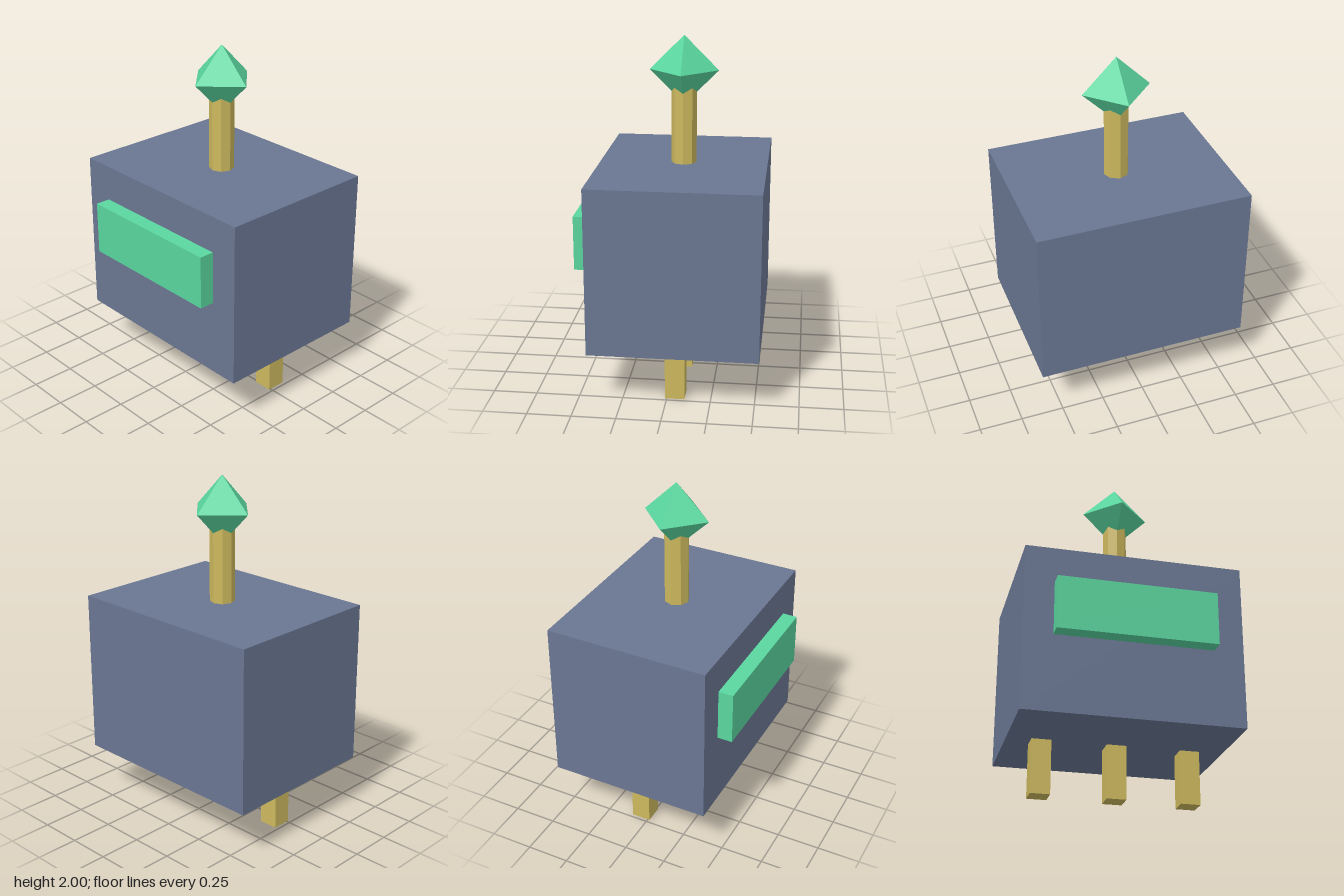
import * as THREE from 'three';

export function createModel() {
  const group = new THREE.Group();
  const material = (name, color) => {
    const m = new THREE.MeshStandardMaterial({ color, flatShading: true });
    m.name = name;
    return m;
  };
  const slate = material('slate blue', 0x6a7793);
  const green = material('mint green', 0x5ad69f);
  const gold = material('dull gold', 0xcdb95e);
  const axisZ = -0.045; // depth shared by body, legs and mast

  const add = (name, geometry, mat, x, y, z) => {
    const mesh = new THREE.Mesh(geometry, mat);
    mesh.name = name;
    mesh.position.set(x, y, z);
    group.add(mesh);
  };

  // Box body with a raised panel on the front
  add('body', new THREE.BoxGeometry(1.236, 0.96, 0.96), slate, 0, 0.79, axisZ);
  add('frontPanel', new THREE.BoxGeometry(0.9, 0.31, 0.17), green, 0, 0.905, 0.437);

  // Row of three square legs
  const legGeometry = new THREE.BoxGeometry(0.112, 0.33, 0.112);
  ['rightLeg', 'middleLeg', 'leftLeg'].forEach((name, i) =>
    add(name, legGeometry, gold, (i - 1) * 0.424, 0.165, axisZ));

  // Eight-sided mast, its top buried in the gem
  add('mast', new THREE.CylinderGeometry(0.072, 0.072, 0.5, 8), gold, 0, 1.49, axisZ);
  add('gem', new THREE.OctahedronGeometry(0.196), green, 0, 1.804, axisZ);

  return group;
}
